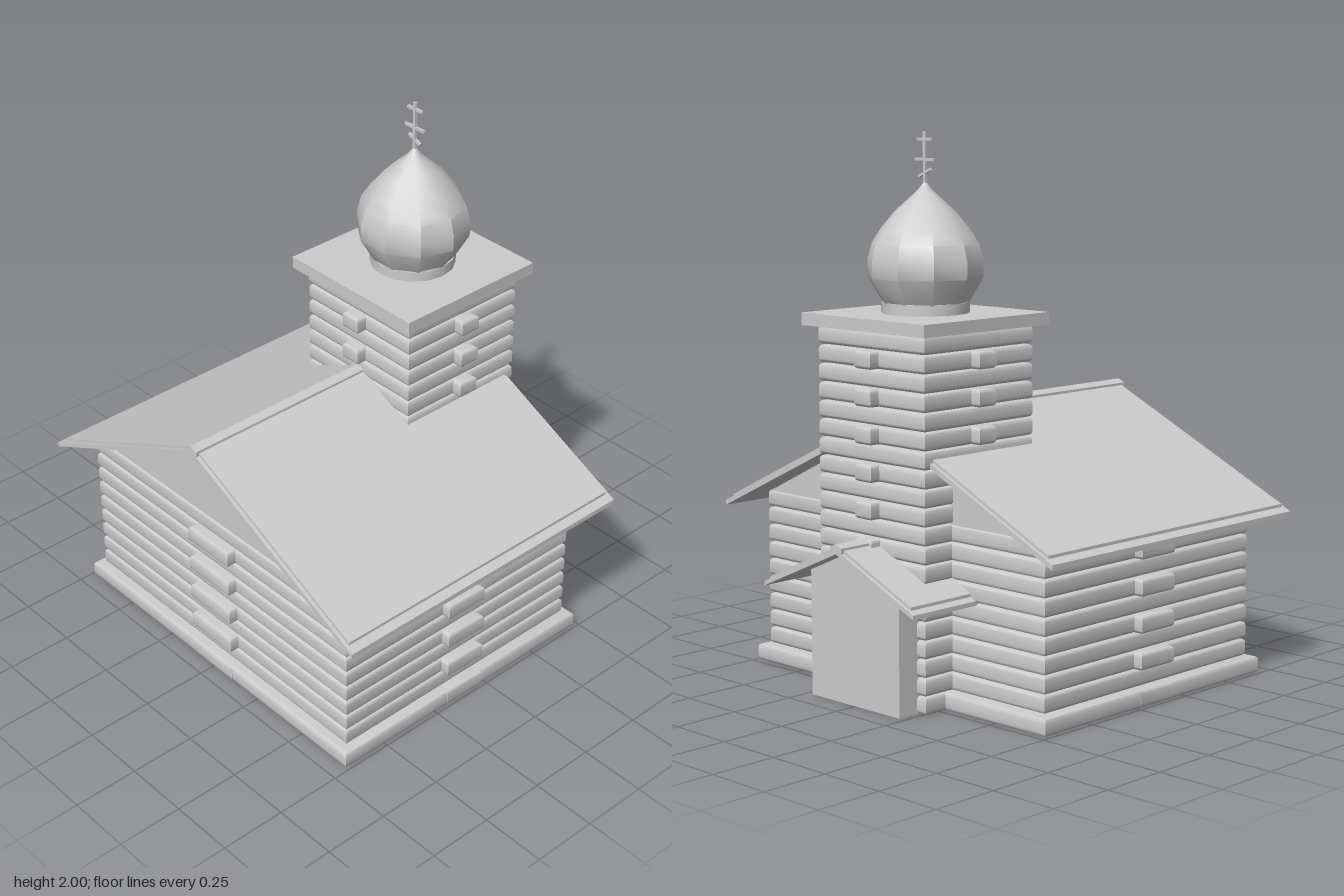
import * as THREE from 'three';
import { toCreasedNormals } from 'three/addons/utils/BufferGeometryUtils.js';

const ROW = 0.066;

export function createModel() {
  const model = new THREE.Group();
  const mat = new THREE.MeshStandardMaterial({ color: 0xcccccc });

  const group = (name, parent = model) => {
    const g = new THREE.Group();
    g.name = name;
    parent.add(g);
    return g;
  };
  const add = (parent, name, geo, x = 0, y = 0, z = 0) => {
    const m = new THREE.Mesh(geo, mat);
    m.name = name;
    m.position.set(x, y, z);
    parent.add(m);
    return m;
  };
  const polygon = (pts) => new THREE.Shape(pts.map(([x, y]) => new THREE.Vector2(x, y)));

  // One course of logs: a rectangle with rounded upper and lower edges
  const course = (hx, hz) => {
    const b = 0.013;
    const geo = new THREE.ExtrudeGeometry(
      polygon([[-hx + b, -hz + b], [hx - b, -hz + b], [hx - b, hz - b], [-hx + b, hz - b]]),
      { depth: ROW - 2 * b - 0.003, bevelEnabled: true, bevelSize: b, bevelThickness: b, bevelSegments: 3 });
    geo.translate(0, 0, b).rotateX(-Math.PI / 2);
    return toCreasedNormals(geo, 0.7);
  };

  // Log walls: stacked courses, with cross-log ends showing on every second one
  const logWalls = (name, hx, hz, z, rows, bx, bz, out, wideBase) => {
    const g = group(name);
    const log = course(hx, hz);
    const endsZ = course(bx, hz + out), endsX = course(hx + out, bz);
    for (let i = 0; i < rows; i++) {
      const y = i * ROW;
      const base = i === 0 && wideBase;
      add(g, base ? 'baseLogs' : 'logCourse', base ? course(hx + out - 0.002, hz + out - 0.002) : log, 0, y, z);
      if (i % 2 === 0) {
        add(g, 'logEndsFrontBack', endsZ, 0, y, z);
        add(g, 'logEndsSides', endsX, 0, y, z);
      }
    }
    return g;
  };

  // Extrude an outline in x, y from z0 to z1
  const prism = (pts, z0, z1) => {
    const geo = new THREE.ExtrudeGeometry(polygon(pts), { depth: z1 - z0, bevelEnabled: false });
    return geo.translate(0, 0, z0);
  };
  const chevron = (half, apex, slope, t, z0, z1) => {
    const eave = apex - slope * half;
    return prism([[0, apex], [-half, eave], [-half, eave - t], [0, apex - t], [half, eave - t], [half, eave]], z0, z1);
  };
  // Gable roof: lower boards, slightly smaller cover boards and a ridge cap
  const gableRoof = (name, half, apex, slope, t, z0, z1, inset) => {
    const g = group(name);
    add(g, 'roofBoards', chevron(half, apex, slope, t, z0, z1));
    add(g, 'roofCover', chevron(half - inset, apex + 0.011, slope, 0.015, z0 + 0.014, z1 - 0.014));
    add(g, 'ridgeCap', chevron(0.028, apex + 0.02, slope, 0.02, z0, z1));
  };

  // Cabin
  logWalls('cabinWalls', 0.705, 0.55, 0.105, 10, 0.112, 0.0875, 0.036, true);
  add(model, 'gable', prism([[-0.705, 0.65], [0.705, 0.65], [0, 0.995]], -0.44, 0.648));
  gableRoof('mainRoof', 0.832, 1.01, 0.476, 0.019, -0.55, 0.745, 0.03);

  // Tower
  const tz = -0.307;
  logWalls('towerWalls', 0.268, 0.268, tz, 20, 0.041, 0.041, 0.04, false);
  add(model, 'towerCap', new THREE.BoxGeometry(0.62, 0.045, 0.62), 0, 1.342, tz);

  // Porch
  add(model, 'porch', prism([[-0.225, 0], [0.225, 0], [0.225, 0.465], [0, 0.565], [-0.225, 0.465]], -0.66, -0.4));
  gableRoof('porchRoof', 0.382, 0.573, 0.443, 0.016, -0.745, -0.41, 0.025);

  // Onion dome on its drum
  add(model, 'drum', toCreasedNormals(new THREE.CylinderGeometry(0.157, 0.157, 0.04, 16), 0.7), 0, 1.383, tz);
  const profile = [[0, 1.4], [0.155, 1.4], [0.207, 1.49], [0.208, 1.55], [0.192, 1.61], [0.16, 1.66],
    [0.11, 1.72], [0.06, 1.765], [0.025, 1.797], [0, 1.83]].map(([r, y]) => new THREE.Vector2(r, y));
  const dome = new THREE.LatheGeometry(profile, 10, Math.PI / 2);
  add(model, 'onionDome', toCreasedNormals(dome, 0.55), 0, 0, tz);

  // Cross: post, two level bars and a slanted one
  const cross = group('cross');
  cross.position.z = tz;
  add(cross, 'post', new THREE.BoxGeometry(0.011, 0.19, 0.011), 0, 1.905, 0);
  for (const [w, y, tilt] of [[0.072, 1.973, 0], [0.096, 1.902, 0], [0.064, 1.856, -0.42]]) {
    add(cross, 'bar', new THREE.BoxGeometry(w, 0.01, 0.01), 0, y, 0).rotation.z = tilt;
  }

  return model;
}
